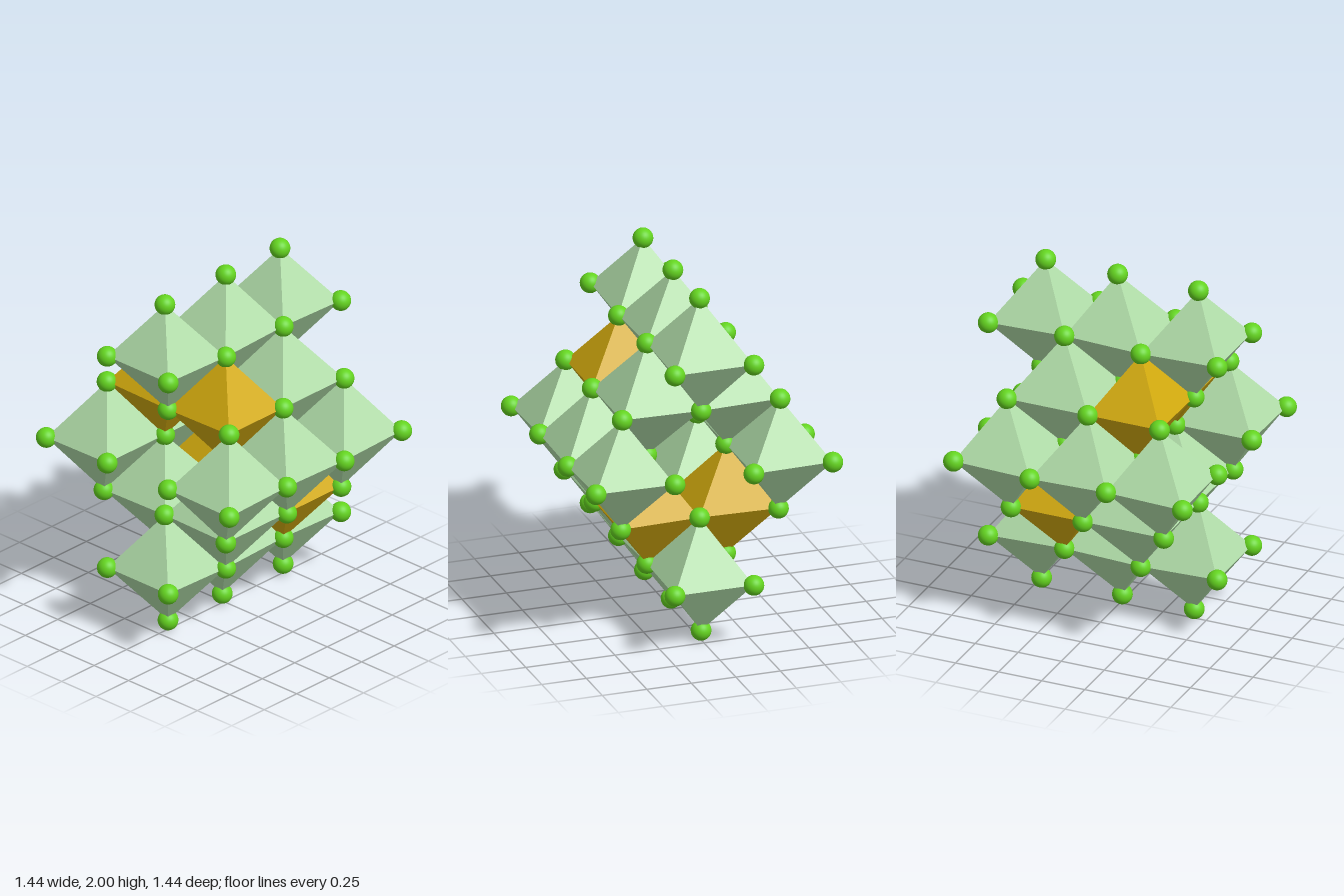
import * as THREE from 'three';

const STEP = 0.2215;  // half the square edge of an octahedron
const RISE = 0.315;   // height of one half octahedron

// Slightly distorted lattice site: i and k count half edges, level runs -3..3
function site(i, level, k) {
  let y = 1 + level * RISE;
  let z = k * STEP;
  if (level % 2 !== 0) {
    const s = level === 3 || level === -1 ? 1 : -1;
    z += s * (k === 0 ? -0.014 : 0.012);
    if (Math.abs(level) === 1) y += level * (i === 0 ? -0.005 : 0.003);
  } else {
    const s = k === 3 || k === -1 ? 1 : -1;
    if (level !== 0) y += s * 0.007;
    else if (Math.abs(i) === 3) y -= s * 0.006;
  }
  return new THREE.Vector3(i * STEP, y, z);
}

// Eight flat triangles between a square ring and two tips
function octahedronGeometry(ring, top, bottom) {
  const points = [];
  ring.forEach((a, n) => {
    const b = ring[(n + 1) % 4];
    points.push(a, b, top, b, a, bottom);
  });
  const geometry = new THREE.BufferGeometry().setFromPoints(points);
  geometry.computeVertexNormals();
  return geometry;
}

export function createModel() {
  const model = new THREE.Group();
  model.name = 'crystalLattice';

  const paleGreen = new THREE.MeshStandardMaterial({ color: 0xb0dca8 });
  paleGreen.name = 'paleGreen';
  const amber = new THREE.MeshStandardMaterial({ color: 0xd2aa0e });
  amber.name = 'amber';
  const brightGreen = new THREE.MeshStandardMaterial({ color: 0x64d420 });
  brightGreen.name = 'brightGreen';

  const octahedra = new THREE.Group();
  octahedra.name = 'octahedra';
  const atoms = new THREE.Group();
  atoms.name = 'cornerAtoms';
  model.add(octahedra, atoms);

  const corners = new Map();
  const corner = (i, level, k) => {
    const key = `${i},${level},${k}`;
    if (!corners.has(key)) corners.set(key, site(i, level, k));
    return corners.get(key);
  };

  // Rows of octahedra form a hollow diamond tunnel along z
  for (let level = -2; level <= 2; level++) {
    const offset = 2 - Math.abs(level);
    const columns = offset === 0 ? [0] : [-offset, offset];
    const depths = level % 2 === 0 ? [-2, 0, 2] : [-1, 1];
    for (const i of columns) {
      for (const k of depths) {
        const ring = [[-1, 1], [1, 1], [1, -1], [-1, -1]]
          .map(([di, dk]) => corner(i + di, level, k + dk));
        const geometry = octahedronGeometry(ring, corner(i, level + 1, k), corner(i, level - 1, k));
        // Amber cells: front of the upper pair, back of the lower pair
        const isAmber = level % 2 !== 0 && k === level;
        const mesh = new THREE.Mesh(geometry, isAmber ? amber : paleGreen);
        mesh.name = isAmber ? 'amberOctahedron' : 'greenOctahedron';
        octahedra.add(mesh);
      }
    }
  }

  // One ball on every shared corner
  const ball = new THREE.SphereGeometry(0.055, 32, 20);
  for (const position of corners.values()) {
    const atom = new THREE.Mesh(ball, brightGreen);
    atom.name = 'cornerAtom';
    atom.position.copy(position);
    atoms.add(atom);
  }
  return model;
}
